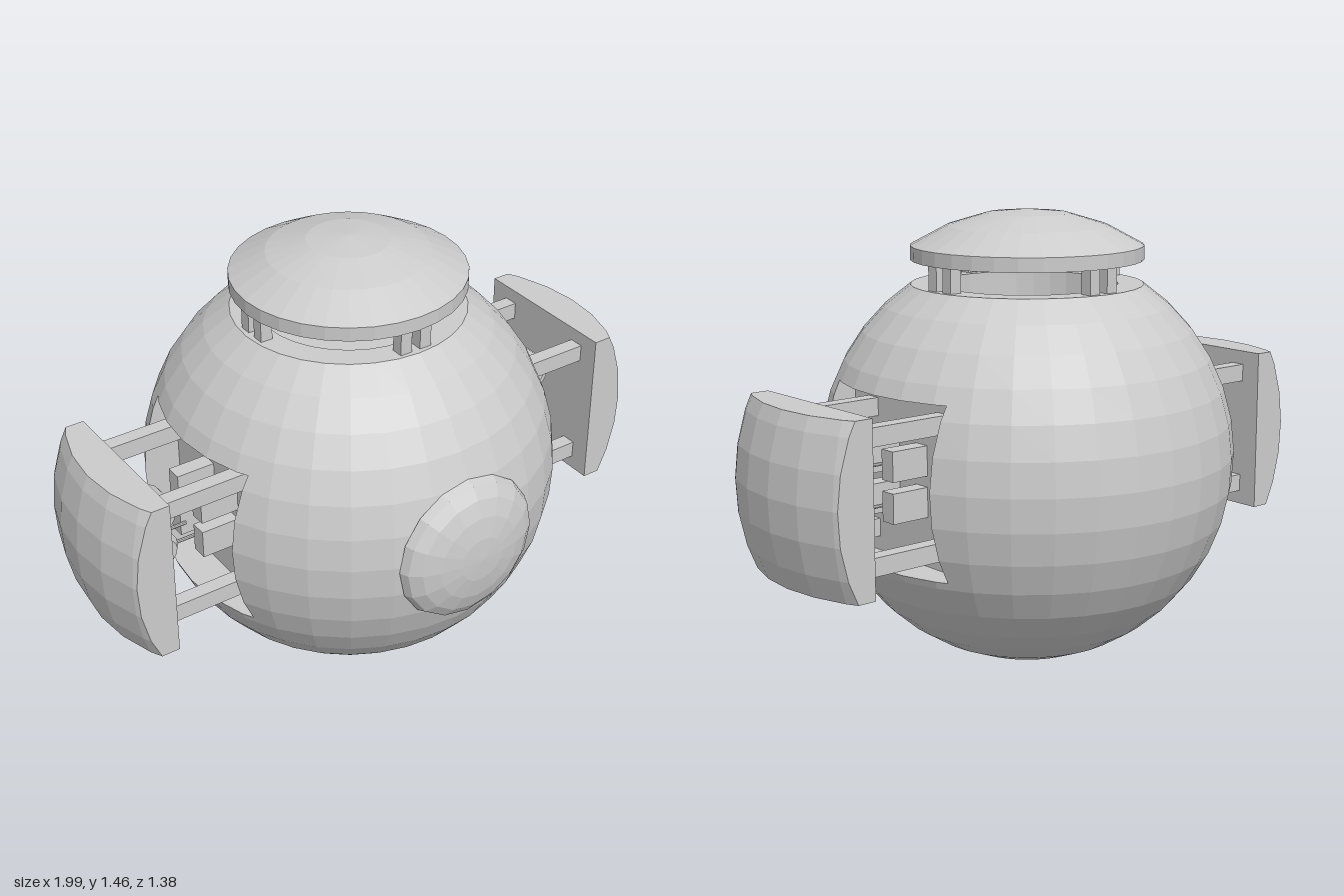
import * as THREE from 'three';

const R = 0.67, CY = 0.675, CZ = -0.025;   // main sphere
const HALF = 0.27;                         // half size of the square side windows
const WALL = 0.485, SLIDE = 0.325;         // depth of the side recess, travel of the side pods
const STEP = Math.PI / 16;

const solid = new THREE.MeshStandardMaterial({ color: 0xcccccc, flatShading: true });
const open = new THREE.MeshStandardMaterial({ color: 0xcccccc, flatShading: true, side: THREE.DoubleSide });

function add(parent, name, geometry, x = 0, y = 0, z = 0, material = solid) {
  const mesh = new THREE.Mesh(geometry, material);
  mesh.name = name;
  mesh.position.set(x, y, z);
  parent.add(mesh);
  return mesh;
}

function fromPolygons(polys) {
  const pts = [];
  for (const p of polys)
    for (let i = 1; i < p.length - 1; i++) pts.push(p[0], p[i], p[i + 1]);
  const g = new THREE.BufferGeometry().setFromPoints(pts);
  g.computeVertexNormals();
  return g;
}

// Part of a polygon where dist(point) >= 0
function clip(poly, dist) {
  const out = [];
  poly.forEach((a, i) => {
    const b = poly[(i + 1) % poly.length], da = dist(a), db = dist(b);
    if (da >= 0) out.push(a);
    if (da * db < 0) out.push(a.clone().lerp(b, da / (da - db)));
  });
  return out;
}

// Splits the faceted sphere into the shell and the two square side patches
function splitSphere() {
  const g = new THREE.SphereGeometry(R, 32, 16, 0, Math.PI * 2, 3 * STEP, 13 * STEP).toNonIndexed();
  const pos = g.attributes.position;
  const planes = [p => HALF - p.y, p => HALF + p.y, p => HALF - p.z, p => HALF + p.z];
  const shell = [], patch = { '1': [], '-1': [] };
  for (let i = 0; i < pos.count; i += 3) {
    let poly = [0, 1, 2].map(k => new THREE.Vector3().fromBufferAttribute(pos, i + k));
    const mid = (poly[0].x + poly[1].x + poly[2].x) / 3;
    if (Math.abs(mid) < 0.4) { shell.push(poly); continue; }
    for (const d of planes) {
      const rest = clip(poly, p => -d(p));
      if (rest.length > 2) shell.push(rest);
      poly = clip(poly, d);
      if (poly.length < 3) break;
    }
    if (poly.length > 2) patch[Math.sign(mid)].push(poly);
  }
  return { shell, patch };
}

// Straight walls from the patch outline to the recess depth, and the flat square there
function recessWalls(patch, side) {
  const x = side * WALL, walls = [];
  const onEdge = (a, b, k) => Math.abs(Math.abs(a[k]) - HALF) < 1e-5 && Math.abs(a[k] - b[k]) < 1e-5;
  for (const poly of patch)
    poly.forEach((a, i) => {
      const b = poly[(i + 1) % poly.length];
      if (onEdge(a, b, 'y') || onEdge(a, b, 'z'))
        walls.push([b, a, a.clone().setX(x), b.clone().setX(x)]);
    });
  walls.push([[-1, -1], [1, -1], [1, 1], [-1, 1]].map(([y, z]) => new THREE.Vector3(x, y * HALF, z * HALF)));
  return walls;
}

export function createModel() {
  const model = new THREE.Group();
  model.name = 'sphericalPod';
  const { shell, patch } = splitSphere();
  add(model, 'bodyShell', fromPolygons(shell), 0, CY, CZ);

  // Flat collar with a shallow well under the lid
  const rim = R * Math.sin(3 * STEP), top = CY + R * Math.cos(3 * STEP);
  const collar = [[rim, 0], [0.29, 0], [0.29, -0.1], [0, -0.1]].map(p => new THREE.Vector2(...p));
  add(model, 'topCollar', new THREE.LatheGeometry(collar, 32), 0, top, CZ, open);

  // Raised lid: spherical cap on a short band
  const lid = new THREE.Group();
  lid.name = 'lid';
  model.add(lid);
  add(lid, 'lidDome', new THREE.SphereGeometry(R, 32, 3, 0, Math.PI * 2, 0, 3 * STEP), 0, 1.355 - (top - CY), CZ);
  add(lid, 'lidBand', new THREE.CylinderGeometry(rim, rim, 0.045, 32), 0, 1.3325, CZ);

  // Pairs of posts at the four quarters
  for (let i = 0; i < 4; i++) {
    const quarter = new THREE.Group();
    quarter.name = 'lidPosts';
    quarter.position.set(0, 1.265, CZ);
    quarter.rotation.y = i * Math.PI / 2;
    for (const s of [-1, 1]) add(quarter, 'lidPost', new THREE.BoxGeometry(0.04, 0.11, 0.04), s * 0.035, 0, 0.335);
    model.add(quarter);
  }

  // Domed front eye
  const eye = new THREE.SphereGeometry(0.245, 16, 5, 0, Math.PI * 2, 0, Math.PI / 2);
  eye.scale(1, 0.09 / 0.245, 1).rotateX(Math.PI / 2);
  add(model, 'frontEye', eye, 0, CY, 0.6, open);

  // Ring-shaped roller profile
  const ring = [[0.025, -0.05], [0.032, -0.066], [0.048, -0.066], [0.062, -0.045], [0.062, 0.045],
    [0.048, 0.066], [0.032, 0.066], [0.025, 0.05], [0.025, -0.05]].map(p => new THREE.Vector2(...p));
  const roller = new THREE.LatheGeometry(ring, 16).rotateX(Math.PI / 2);
  const core = new THREE.CylinderGeometry(0.026, 0.026, 0.1, 12).rotateX(Math.PI / 2);
  const rod = new THREE.CylinderGeometry(0.006, 0.006, 0.12, 8).rotateZ(Math.PI / 2);

  // Side assemblies: recess, sliding pod, beams and rollers
  for (const s of [1, -1]) {
    const side = new THREE.Group();
    side.name = s > 0 ? 'leftSide' : 'rightSide';
    side.position.set(0, CY, CZ);
    model.add(side);

    const walls = fromPolygons(recessWalls(patch[s], s));
    add(side, 'recess', walls, 0, 0, 0, open);
    add(side, 'podCover', fromPolygons(patch[s]), s * SLIDE);
    add(side, 'podWalls', walls, s * SLIDE, 0, 0, open);

    for (const v of [-1, 1]) {
      for (const w of [-1, 1]) {
        add(side, 'beam', new THREE.BoxGeometry(SLIDE, 0.058, 0.05), s * (WALL + SLIDE / 2), v * 0.195, w * 0.175);
        add(side, 'rollerBracket', new THREE.BoxGeometry(0.13, 0.095, 0.055), s * 0.55, v * 0.065, w * 0.07);
        add(side, 'rollerRod', rod, s * 0.66, v * 0.065, w * 0.036);
      }
      add(side, 'roller', roller, s * 0.737, v * 0.065, 0, open);
      add(side, 'rollerCore', core, s * 0.737, v * 0.065, 0);
    }
  }
  return model;
}
